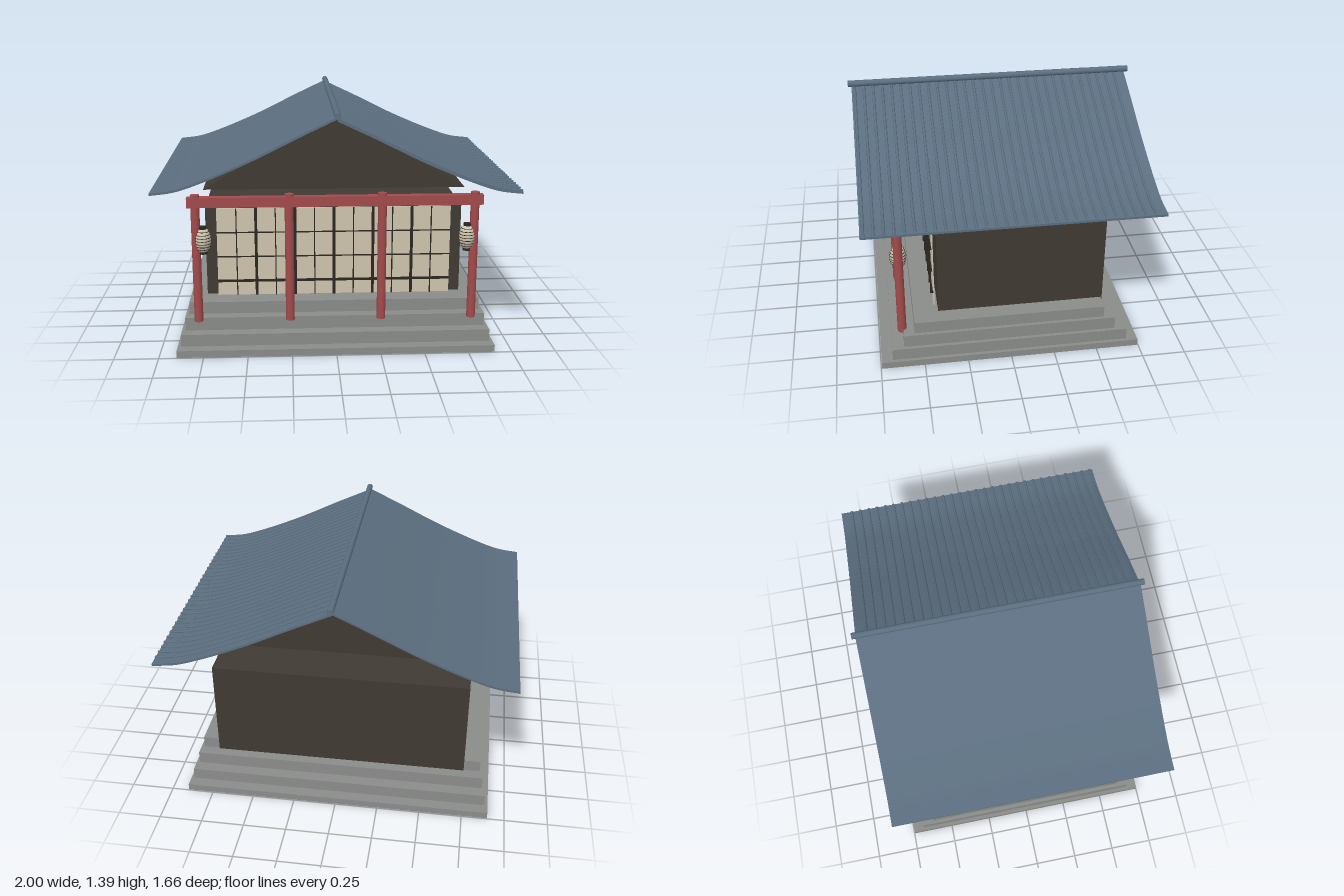
import * as THREE from 'three';
import { toCreasedNormals } from 'three/addons/utils/BufferGeometryUtils.js';

const mat = (name, color, extra = {}) => {
  const m = new THREE.MeshStandardMaterial({ color, ...extra });
  m.name = name;
  return m;
};

export function createModel() {
  const root = new THREE.Group();
  root.name = 'hall';
  const stone = mat('stone', 0x8a8c8a);
  const wood = mat('darkWood', 0x403a33);
  const lattice = mat('latticeWood', 0x2b2621);
  const paper = mat('paper', 0xcfc5ae);
  const red = mat('redPaint', 0xa24a4b);
  const tile = mat('roofTile', 0x5b6e7f);

  const add = (name, geo, material, x = 0, y = 0, z = 0, parent = root) => {
    const m = new THREE.Mesh(geo, material);
    m.name = name;
    m.position.set(x, y, z);
    parent.add(m);
    return m;
  };
  // Box given by its limits on each axis
  const box = (name, material, [x0, x1], [y0, y1], [z0, z1], parent = root) =>
    add(name, new THREE.BoxGeometry(x1 - x0, y1 - y0, z1 - z0), material,
      (x0 + x1) / 2, (y0 + y1) / 2, (z0 + z1) / 2, parent);

  // Stepped stone base
  [[0.9, 0, 0.04, 0.745], [0.88, 0.04, 0.11, 0.68], [0.86, 0.11, 0.185, 0.612], [0.84, 0.185, 0.255, 0.548]]
    .forEach(([x, y0, y1, z], i) => box('baseStep' + (i + 1), stone, [-x, x], [y0, y1], [-z, z]));

  // Closed hall body
  box('walls', wood, [-0.745, 0.745], [0.185, 0.78], [-0.555, 0.405]);

  // Paper screens with lattice
  const screens = new THREE.Group();
  screens.name = 'screens';
  root.add(screens);
  box('paperScreen', paper, [-0.68, 0.68], [0.255, 0.78], [0.419, 0.427], screens);
  for (let i = 1; i < 12; i++) {
    const x = -0.68 + i * 1.36 / 12, w = i % 2 ? 0.003 : 0.008;
    box('latticePost', lattice, [x - w, x + w], [0.255, 0.78], [0.424, 0.436], screens);
  }
  [[0.636, 0.003], [0.49, 0.003], [0.342, 0.007]].forEach(([y, h]) =>
    box('latticeRail', lattice, [-0.68, 0.68], [y - h, y + h], [0.424, 0.434], screens));

  // Porch columns and beam
  for (const x of [-0.78, -0.26, 0.26, 0.78])
    add('porchColumn', new THREE.CylinderGeometry(0.025, 0.025, 0.74, 16), red, x, 0.54, 0.617);
  box('porchBeam', red, [-0.825, 0.825], [0.84, 0.896], [0.593, 0.641]);

  // Hanging lanterns with ribs and caps
  for (const s of [-1, 1]) {
    const lantern = new THREE.Group();
    lantern.name = s > 0 ? 'leftLantern' : 'rightLantern';
    lantern.position.set(s * 0.742, 0.65, 0.617);
    root.add(lantern);
    add('lanternBody', new THREE.SphereGeometry(1, 20, 14), paper, 0, 0, 0, lantern).scale.set(0.045, 0.076, 0.045);
    for (let i = -3; i <= 3; i++) {
      const y = i * 0.017;
      const r = 0.045 * Math.sqrt(1 - (y / 0.076) ** 2);
      add('lanternRib', new THREE.TorusGeometry(r, 0.002, 5, 20).rotateX(Math.PI / 2), lattice, 0, y, 0, lantern);
    }
    for (const e of [-1, 1])
      add('lanternCap', new THREE.CylinderGeometry(0.023, 0.023, 0.014, 16), lattice, 0, e * 0.072, 0, lantern);
  }

  // Gable block under the roof
  const tri = new THREE.Shape([[-0.745, 0.905], [0.745, 0.905], [0, 1.352]].map(p => new THREE.Vector2(...p)));
  add('gable', new THREE.ExtrudeGeometry(tri, { depth: 0.96, bevelEnabled: false }), wood, 0, 0, -0.48);

  // Curved roof slopes, swept from one eave profile
  const profile = new THREE.CatmullRomCurve3(
    [[0, 1.363], [0.2, 1.268], [0.47, 1.135], [0.74, 1.022], [0.87, 0.98], [1, 0.963]]
      .map(([x, y]) => new THREE.Vector3(x, y, 0)));
  const line = profile.getPoints(28);
  const slope = (name, side, top, thick) => {
    const pts = [
      ...line.map(p => new THREE.Vector2(side * p.x, p.y + top)),
      ...[...line].reverse().map(p => new THREE.Vector2(side * p.x, p.y + top - thick)),
    ];
    const geo = new THREE.ExtrudeGeometry(new THREE.Shape(pts), { depth: 1.62, bevelEnabled: false });
    add(name, toCreasedNormals(geo, 0.6), tile, 0, 0, -0.81);
  };
  slope('rightRoofSlope', -1, 0.004, 0.013);
  slope('leftRoofSlope', 1, -0.008, 0.013);

  // Round tile ribs down the left slope
  const ribPath = new THREE.CatmullRomCurve3(line.map(p => new THREE.Vector3(p.x, p.y - 0.006, 0)));
  const ribGeo = new THREE.TubeGeometry(ribPath, 28, 0.008, 8);
  for (let i = 0; i < 30; i++) add('tileRib', ribGeo, tile, 0, 0, -0.745 + i * 0.053);

  // Ridge pole
  add('ridge', new THREE.CylinderGeometry(0.018, 0.018, 1.66, 16).rotateX(Math.PI / 2), tile, 0, 1.372, 0);

  return root;
}
